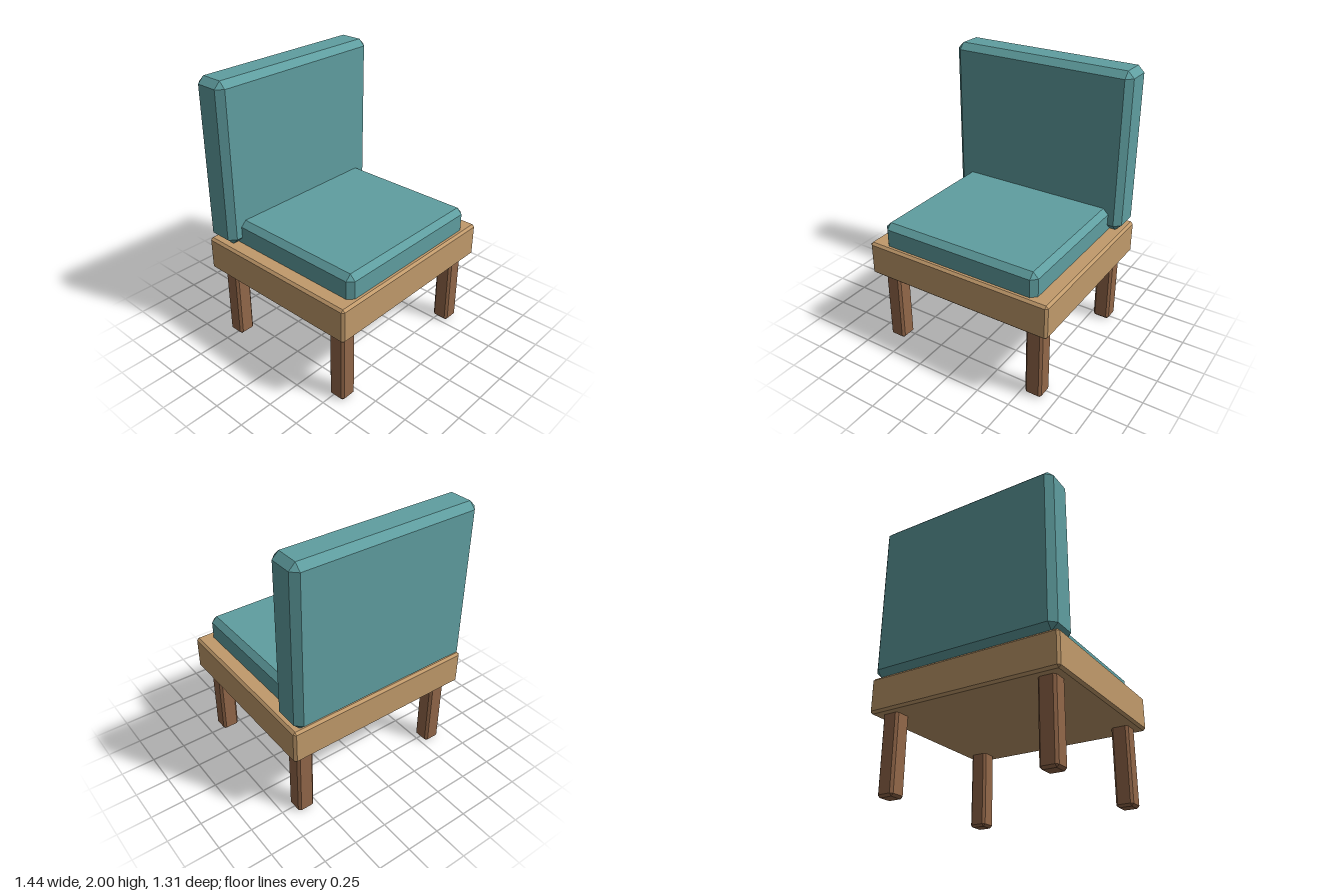
import * as THREE from 'three';
import { ConvexGeometry } from 'three/addons/geometries/ConvexGeometry.js';

// Box with flat chamfers, given by its extents on each axis
function chamferBox(name, material, [x0, x1], [y0, y1], [z0, z1], c) {
  const half = [(x1 - x0) / 2, (y1 - y0) / 2, (z1 - z0) / 2];
  const points = [];
  for (const sx of [-1, 1]) for (const sy of [-1, 1]) for (const sz of [-1, 1]) {
    for (let axis = 0; axis < 3; axis++) {
      const [x, y, z] = half.map((h, i) => (i === axis ? h : h - c));
      points.push(new THREE.Vector3(sx * x, sy * y, sz * z));
    }
  }
  const mesh = new THREE.Mesh(new ConvexGeometry(points), material);
  mesh.name = name;
  mesh.position.set((x0 + x1) / 2, (y0 + y1) / 2, (z0 + z1) / 2);
  return mesh;
}

export function createModel() {
  const fabric = new THREE.MeshStandardMaterial({ color: 0x5f9ea0 });
  fabric.name = 'tealFabric';
  const lightWood = new THREE.MeshStandardMaterial({ color: 0xc19a6b });
  lightWood.name = 'lightWood';
  const darkWood = new THREE.MeshStandardMaterial({ color: 0x926749 });
  darkWood.name = 'darkWood';

  const chair = new THREE.Group();
  chair.name = 'chair';

  // Wooden base and the two cushions
  chair.add(
    chamferBox('baseFrame', lightWood, [-0.72, 0.72], [0.56, 0.815], [-0.638, 0.655], 0.017),
    chamferBox('seatCushion', fabric, [-0.612, 0.612], [0.73, 0.985], [-0.52, 0.62], 0.04),
    chamferBox('backCushion', fabric, [-0.703, 0.703], [0.815, 2], [-0.655, -0.4], 0.046),
  );

  // Four legs, tucked into the base
  for (const side of [-1, 1]) {
    for (const [end, z] of [['front', 0.53], ['back', -0.51]]) {
      const x = side * 0.592;
      const name = end + (side > 0 ? 'Left' : 'Right') + 'Leg';
      chair.add(chamferBox(name, darkWood, [x - 0.063, x + 0.063], [0, 0.6], [z - 0.063, z + 0.063], 0.017));
    }
  }
  return chair;
}
